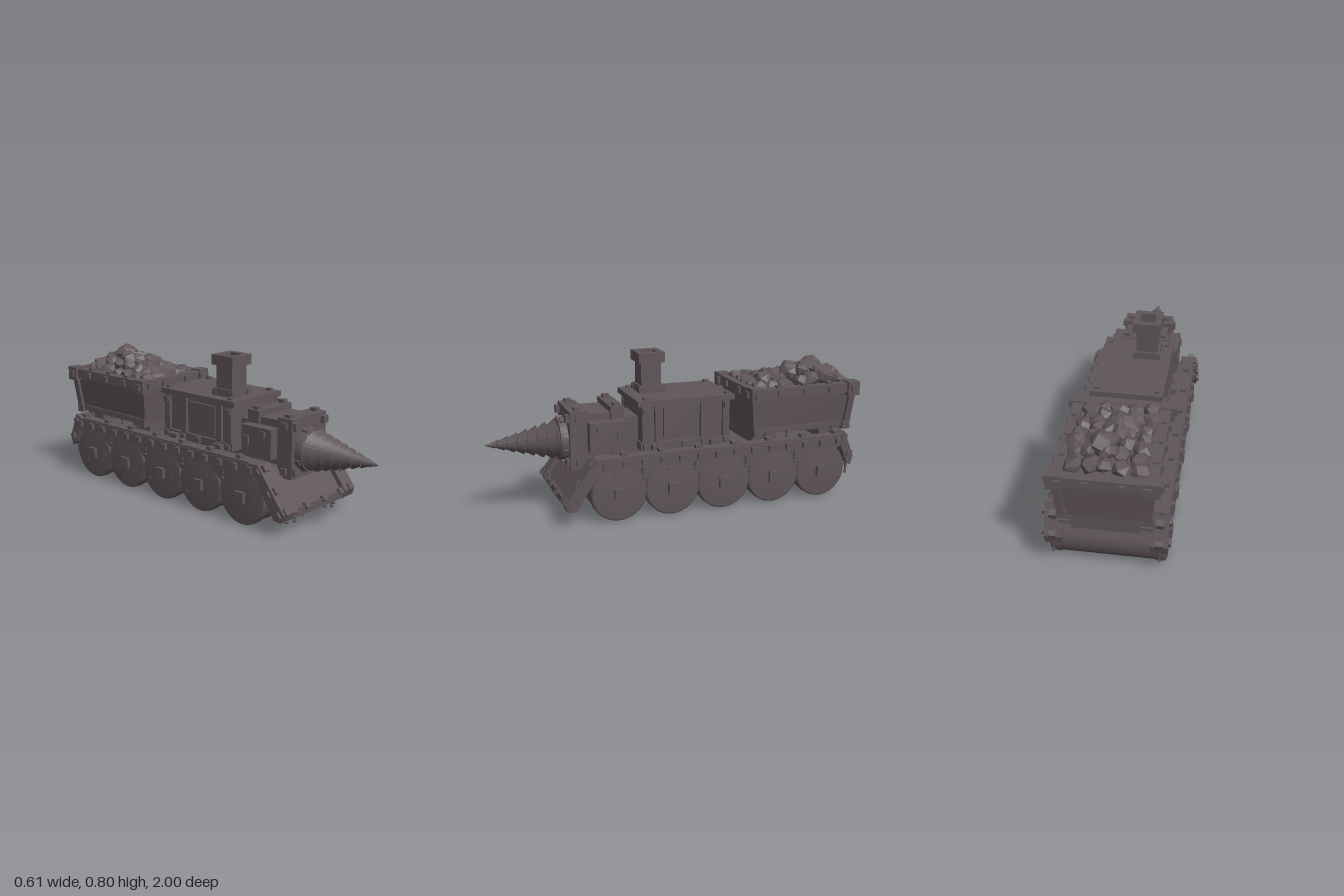
import * as THREE from 'three';
import { ConvexGeometry } from 'three/addons/geometries/ConvexGeometry.js';

export function createModel() {
  const root = new THREE.Group();
  root.name = 'drillTrain';
  const iron = new THREE.MeshStandardMaterial({ color: 0x5f5559 });
  iron.name = 'sooty iron';

  let seed = 11;
  const rnd = () => ((seed = (seed * 16807) % 2147483647) / 2147483647);

  const add = (name, geo, x = 0, y = 0, z = 0) => {
    const m = new THREE.Mesh(geo, iron);
    m.name = name;
    m.position.set(x, y, z);
    root.add(m);
    return m;
  };
  // box given by its limits
  const box = (name, x0, x1, y0, y1, z0, z1) =>
    add(name, new THREE.BoxGeometry(x1 - x0, y1 - y0, z1 - z0), (x0 + x1) / 2, (y0 + y1) / 2, (z0 + z1) / 2);
  // small square rivet
  const stud = (x, y, z, s = 0.03, rx = 0) => {
    const m = add('stud', new THREE.BoxGeometry(s, s, s), x, y, z);
    m.rotation.x = rx;
    return m;
  };
  // outline of [z, y] points pulled along x
  const profile = (name, pts, width, x = 0) => {
    const s = new THREE.Shape(pts.map(p => new THREE.Vector2(p[0], p[1])));
    const g = new THREE.ExtrudeGeometry(s, { depth: width, bevelEnabled: false });
    g.translate(0, 0, -width / 2).rotateY(-Math.PI / 2);
    return add(name, g, x);
  };
  // tapered drip of grease hanging down
  const drip = (x, y, z, len) => {
    const g = new THREE.CylinderGeometry(0.011, 0.004, len, 6);
    add('drip', g, x, y - len / 2, z);
    add('dripTip', new THREE.SphereGeometry(0.009, 6, 5), x, y - len, z);
  };

  // Rollers with hubs
  const wheelZ = [0.38, 0.095, -0.188, -0.472, -0.755];
  for (const z of wheelZ) {
    const pts = [[0, -0.277], [0.137, -0.277], [0.147, -0.266], [0.148, -0.235], [0.143, -0.225],
      [0.143, 0.225], [0.148, 0.235], [0.147, 0.266], [0.137, 0.277], [0, 0.277]];
    const g = new THREE.LatheGeometry(pts.map(p => new THREE.Vector2(...p)), 36).toNonIndexed();
    g.rotateZ(Math.PI / 2);
    add('roller', g, 0, 0.156, z);
    for (const s of [-1, 1]) {
      box('hub', s * 0.283 - 0.012, s * 0.283 + 0.012, 0.128, 0.184, z - 0.028, z + 0.028);
      for (let i = 0; i < 3; i++) {
        const a = rnd() * 6.3, r = 0.07 + rnd() * 0.04;
        stud(s * 0.275, 0.156 + r * Math.sin(a), z + r * Math.cos(a), 0.012);
      }
    }
  }

  // Chassis
  box('deck', -0.265, 0.265, 0.2, 0.305, -0.86, 0.47);
  for (const s of [-1, 1]) {
    box('sideRail', s * 0.245 - 0.04, s * 0.245 + 0.04, 0.28, 0.335, -0.88, 0.49);
    box('railCap', s * 0.25 - 0.03, s * 0.25 + 0.03, 0.33, 0.345, -0.87, 0.47);
    for (let i = 0; i < 14; i++) {
      const z = 0.45 - i * 0.1;
      stud(s * 0.286, 0.312, z, 0.032);
      if (i % 2) stud(s * 0.25, 0.347, z, 0.032);
    }
    for (let i = 0; i < 4; i++) {
      const z = (wheelZ[i] + wheelZ[i + 1]) / 2;
      profile('webPlate', [[z - 0.075, 0.285], [z + 0.075, 0.285], [z, 0.215]], 0.03, s * 0.262);
      drip(s * 0.276, 0.285, z + 0.02, 0.03 + rnd() * 0.03);
    }
    // sloping end straps
    profile('frontStrap', [[0.44, 0.345], [0.5, 0.345], [0.665, 0.13], [0.65, 0.09], [0.605, 0.09], [0.49, 0.27]], 0.085, s * 0.25);
    profile('rearStrap', [[-0.83, 0.34], [-0.89, 0.36], [-0.945, 0.22], [-0.93, 0.17], [-0.905, 0.19], [-0.87, 0.28]], 0.085, s * 0.248);
    for (const [z, y] of [[0.515, 0.325], [0.585, 0.225], [0.65, 0.135]]) {
      stud(s * 0.26, y, z, 0.036, 0.93);
      stud(s * 0.288, y - 0.015, z - 0.02, 0.032, 0.93);
    }
    for (const [z, y] of [[-0.9, 0.325], [-0.935, 0.23]]) {
      stud(s * 0.25, y, z, 0.036, -0.37);
      stud(s * 0.288, y, z + 0.02, 0.03, -0.37);
    }
    drip(s * 0.25, 0.18, -0.925, 0.06);
  }

  // Front shield and rear apron
  profile('frontShield', [[0.42, 0.305], [0.5, 0.305], [0.645, 0.12], [0.635, 0.09], [0.6, 0.09], [0.48, 0.27]], 0.44);
  box('shieldLip', -0.27, 0.27, 0.09, 0.13, 0.615, 0.65);
  for (const x of [-0.19, -0.09, 0.05, 0.19]) stud(x, 0.125, 0.642, 0.032, 0.9);
  for (const [x, l] of [[-0.22, 0.03], [-0.155, 0.04], [-0.095, 0.02], [0.09, 0.03], [0.15, 0.045], [0.165, 0.03], [0.24, 0.02]])
    drip(x, 0.1, 0.625, l);
  profile('rearApron', [[-0.84, 0.305], [-0.89, 0.32], [-0.925, 0.23], [-0.905, 0.225], [-0.87, 0.27]], 0.43);
  box('rearBar', -0.23, 0.23, 0.325, 0.345, -0.925, -0.88);
  box('rearBar', -0.22, 0.22, 0.295, 0.315, -0.925, -0.88);

  // Engine cabin
  box('cabinFoot', -0.11, 0.11, 0.29, 0.36, -0.23, 0.46);
  box('cabin', -0.165, 0.165, 0.335, 0.575, -0.25, 0.225);
  box('cabinSkirt', -0.18, 0.18, 0.335, 0.375, -0.26, 0.235);
  box('roof', -0.183, 0.187, 0.567, 0.595, -0.28, 0.25);
  for (const s of [-1, 1]) {
    for (const z of [-0.235, -0.11, 0.14, 0.21])
      box('post', s * 0.17 - 0.012, s * 0.17 + 0.012, 0.34, 0.57, z - 0.018, z + 0.018);
    box('sidePanel', s * 0.17 - 0.008, s * 0.17 + 0.008, 0.395, 0.55, -0.08, 0.11);
    for (const z of [-0.235, -0.11, 0.0, 0.14, 0.21]) stud(s * 0.18, 0.355, z, 0.03);
    for (const z of [-0.235, 0.21]) {
      stud(s * 0.18, 0.54, z, 0.03);
      stud(s * 0.152 + 0.002, 0.595, z - 0.012, 0.026);
    }
    box('cabinBracket', s * 0.185 - 0.025, s * 0.185 + 0.025, 0.335, 0.365, -0.2, -0.14);
    box('cabinBracket', s * 0.185 - 0.025, s * 0.185 + 0.025, 0.335, 0.365, 0.12, 0.18);
  }

  // Chimney: square tube with hollow cap
  const squareTube = (name, outer, inner, y0, y1) => {
    const sq = (h, T) => new T([[-h, -h], [h, -h], [h, h], [-h, h]].map(p => new THREE.Vector2(...p)));
    const s = sq(outer, THREE.Shape);
    s.holes.push(sq(inner, THREE.Path));
    const g = new THREE.ExtrudeGeometry(s, { depth: y1 - y0, bevelEnabled: false });
    g.rotateX(-Math.PI / 2);
    add(name, g, -0.057, y0, 0.117);
  };
  squareTube('chimneyBase', 0.066, 0.04, 0.59, 0.634);
  squareTube('chimney', 0.055, 0.038, 0.6, 0.77);
  squareTube('chimneyCap', 0.072, 0.04, 0.755, 0.808);
  for (const a of [-1, 1]) for (const b of [-1, 1]) stud(-0.057 + a * 0.058, 0.613, 0.117 + b * 0.058, 0.028);

  // Gearbox behind the drill
  box('gearNeck', -0.1, 0.1, 0.33, 0.5, 0.22, 0.32);
  box('gearRearPlate', -0.14, 0.12, 0.32, 0.565, 0.305, 0.375);
  box('gearBody', -0.125, 0.105, 0.31, 0.535, 0.37, 0.51);
  box('drillPlate', -0.145, 0.125, 0.255, 0.556, 0.5, 0.59);
  for (const s of [-1, 1]) {
    box('gearSide', s * 0.155 - 0.03 - 0.01, s * 0.155 + 0.03 - 0.01, 0.35, 0.5, 0.31, 0.5);
    box('gearStrap', s * 0.16 - 0.035 - 0.01, s * 0.16 + 0.035 - 0.01, 0.4, 0.45, 0.32, 0.36);
    for (const y of [0.29, 0.52]) {
      stud(-0.01 + s * 0.11, y, 0.59, 0.038);
      stud(-0.01 + s * 0.132, y, 0.545, 0.034);
    }
    stud(-0.01 + s * 0.1, 0.555, 0.545, 0.034);
    stud(-0.01 + s * 0.1, 0.565, 0.34, 0.034);
    stud(-0.01 + s * 0.182, 0.47, 0.45, 0.03);
  }

  // Drill: collar with teeth and a cone cut by a spiral thread
  const dx = -0.012, dy = 0.387;
  const collar = new THREE.CylinderGeometry(0.11, 0.116, 0.045, 24);
  collar.rotateX(Math.PI / 2);
  add('drillCollar', collar, dx, dy, 0.605);
  for (let i = 0; i < 8; i++) {
    const a = (i + 0.5) * Math.PI / 4;
    stud(dx + 0.107 * Math.cos(a), dy + 0.107 * Math.sin(a), 0.605, 0.028).rotation.z = a;
  }
  const len = 0.39, cone = new THREE.CylinderGeometry(1, 1, len, 32, 112, true);
  const p = cone.attributes.position;
  for (let i = 0; i < p.count; i++) {
    const x = p.getX(i), z = p.getZ(i), t = p.getY(i) / len + 0.5;
    const turn = t * 8 + Math.atan2(x, z) / (2 * Math.PI) + 4;
    const tooth = turn - Math.floor(turn);
    const r = t > 0.995 ? 0 : 0.108 * Math.pow(1 - t, 0.9) * (t > 0.9 ? 0.9 : 1.06 - 0.26 * tooth);
    p.setX(i, x * r);
    p.setZ(i, z * r);
  }
  const flatCone = cone.toNonIndexed();
  flatCone.computeVertexNormals();
  flatCone.rotateX(Math.PI / 2);
  add('drill', flatCone, dx, dy, 0.805);

  // Hopper: tapered bin, rim, straps
  const hz = -0.668;
  const bin = new THREE.BoxGeometry(2, 0.235, 2);
  const b = bin.attributes.position;
  for (let i = 0; i < b.count; i++) {
    const up = b.getY(i) > 0;
    b.setX(i, b.getX(i) * (up ? 0.222 : 0.198));
    b.setZ(i, b.getZ(i) * (up ? 0.298 : 0.272));
  }
  bin.computeVertexNormals();
  add('hopper', bin, 0, 0.4825, hz);
  for (const z of [-0.47, -0.87]) box('hopperFoot', -0.16, 0.16, 0.29, 0.375, z - 0.07, z + 0.07);
  for (const s of [-1, 1]) {
    box('rimSide', s * 0.215 - 0.026, s * 0.215 + 0.026, 0.565, 0.618, hz - 0.305, hz + 0.305);
    box('rimEnd', -0.24, 0.24, 0.565, 0.618, hz + s * 0.288 - 0.026, hz + s * 0.288 + 0.026);
    for (const e of [-1, 1]) {
      box('rimCorner', s * 0.222 - 0.034, s * 0.222 + 0.034, 0.55, 0.626, hz + e * 0.285 - 0.034, hz + e * 0.285 + 0.034);
      const post = box('cornerPost', -0.018, 0.018, -0.11, 0.11, -0.018, 0.018);
      post.position.set(s * 0.208, 0.475, hz + e * 0.28);
      post.rotation.set(e * 0.11, 0, -s * 0.1);
      stud(s * 0.2, 0.38, hz + e * 0.265, 0.045);
      stud(s * 0.25, 0.59, hz + e * 0.285, 0.036);
      stud(s * 0.2, 0.59, hz + e * 0.313, 0.036);
    }
    for (const z of [-0.15, 0, 0.15]) {
      stud(s * 0.238, 0.592, hz + z, 0.032);
      stud(s * 0.215, 0.616, hz + z, 0.028);
    }
    for (const x of [-0.09, 0.08]) stud(x, 0.592, hz + s * 0.31, 0.03);
    box('lowerBand', s * 0.2 - 0.01, s * 0.2 + 0.01, 0.37, 0.4, hz - 0.27, hz + 0.27);
    for (const z of [-0.45, -0.58, -0.85]) drip(s * 0.205, 0.38, z, 0.03);
  }

  // Ore heap: faceted rocks on a mound that peaks toward the back
  const rock = (x, y, z, r) => {
    const pts = [];
    for (let i = 0; i < 15; i++) {
      const u = 2 * (i + 0.5) / 15 - 1, a = i * 2.4 + rnd() * 0.7, c = Math.sqrt(1 - u * u), k = r * (0.85 + rnd() * 0.3);
      pts.push(new THREE.Vector3(k * c * Math.cos(a), k * u * 0.85, k * c * Math.sin(a)));
    }
    add('rock', new ConvexGeometry(pts), x, y, z).rotation.y = rnd() * 6;
  };
  for (let i = 0; i < 5; i++) for (let j = 0; j < 7; j++) {
    const x = (i - 2) * 0.073 + (rnd() - 0.5) * 0.03, z = -0.44 - j * 0.076 + (rnd() - 0.5) * 0.03;
    const d = Math.hypot((x - 0.03) / 0.2, (z + 0.77) / 0.3);
    rock(x, 0.605 + 0.085 * Math.max(0, 1 - d), z, 0.043 + rnd() * 0.014);
  }
  rock(0.03, 0.69, -0.79, 0.07);
  rock(-0.03, 0.66, -0.7, 0.06);

  return root;
}
